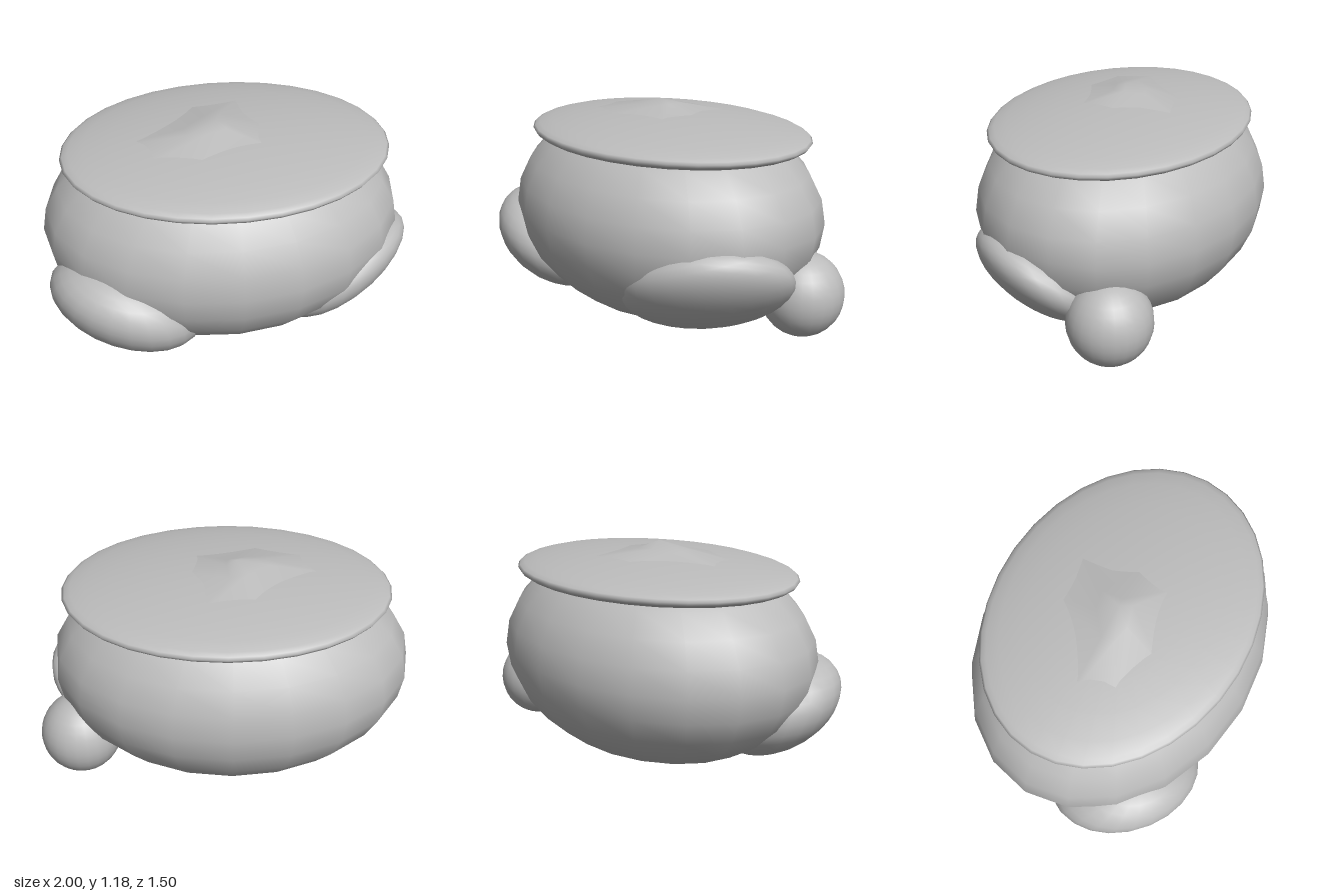
import * as THREE from 'three';

const grey = new THREE.MeshStandardMaterial({ color: 0xbcbcbc });
grey.name = 'grey';

function part(name, geometry) {
  const mesh = new THREE.Mesh(geometry, grey);
  mesh.name = name;
  return mesh;
}

// Tilted ellipsoid: a unit sphere sheared by the Cholesky factor of its
// half extents (hx, hy, hz) and its cross terms (xy, xz, yz).
function ellipsoid([cx, cy, cz], [hx, hy, hz], [xy, xz, yz], w = 24, h = 16) {
  const b = xy / hx, d = xz / hx;
  const c = Math.sqrt(hy * hy - b * b);
  const e = (yz - d * b) / c;
  const f = Math.sqrt(hz * hz - d * d - e * e);
  const m = new THREE.Matrix4().set(
    hx, 0, 0, cx,
    b, c, 0, cy,
    d, e, f, cz,
    0, 0, 0, 1);
  return new THREE.SphereGeometry(1, w, h).applyMatrix4(m);
}

// Round pot body, a little flat on its left side and under the lid
function bodyGeometry() {
  const g = ellipsoid([-0.035, 0.588, 0], [0.965, 0.588, 0.752], [0, 0, 0], 20, 14);
  const p = g.attributes.position;
  for (let i = 0; i < p.count; i++) {
    p.setX(i, Math.min(p.getX(i), 0.905));
    p.setY(i, Math.min(p.getY(i), 1.04));
  }
  return g;
}

// Shallow domed lid with a rounded rim
function lidGeometry() {
  const profile = [
    [0, 0.945], [0.5, 0.952], [0.86, 0.968], [0.95, 0.985], [0.985, 1.0], [1, 1.017],
    [0.985, 1.03], [0.95, 1.043], [0.86, 1.062], [0.7, 1.083], [0.5, 1.102], [0.25, 1.117], [0, 1.122],
  ].map(([r, y]) => new THREE.Vector2(r, y));
  return new THREE.LatheGeometry(profile, 32).scale(0.863, 1, 0.665).translate(-0.012, 0, 0);
}

// Low irregular hump rising through the lid
function humpGeometry() {
  const rim = [[-0.56, 0.02], [-0.48, 0.24], [-0.18, 0.29], [0.18, 0.18], [0.2, -0.02], [0.15, -0.4], [-0.16, -0.31]];
  const pos = [], index = [], n = rim.length;
  for (const t of [0, 0.7]) {
    for (const [x, z] of rim) {
      const r = Math.hypot((x + 0.012) / 0.863, z / 0.665);
      const y = 1.117 - 0.085 * r * r;
      pos.push(x + (-0.1 - x) * t, y + (1.168 - y) * t, z * (1 - t));
    }
  }
  pos.push(-0.06, 1.177, 0);
  for (let i = 0; i < n; i++) {
    const j = (i + 1) % n;
    index.push(i, j, n + j, i, n + j, n + i, n + i, n + j, 2 * n);
  }
  const g = new THREE.BufferGeometry();
  g.setAttribute('position', new THREE.Float32BufferAttribute(pos, 3));
  g.setIndex(index);
  g.computeVertexNormals();
  return g;
}

export function createModel() {
  const model = new THREE.Group();
  model.name = 'roundPot';
  model.add(
    part('body', bodyGeometry()),
    part('lid', lidGeometry()),
    part('lidHump', humpGeometry()),
    // Two large lobes low on the front corners
    part('rightLobe', ellipsoid([-0.6, 0.345, 0.36], [0.39, 0.275, 0.367], [-0.03, 0.03, 0.02])),
    part('leftLobe', ellipsoid([0.6, 0.34, 0.22], [0.37, 0.272, 0.375], [0.05, -0.05, 0.02])),
    // Small ball low on the back left
    part('rearBall', ellipsoid([0.782, 0.262, -0.258], [0.217, 0.223, 0.217], [0, 0, 0])),
  );
  return model;
}
